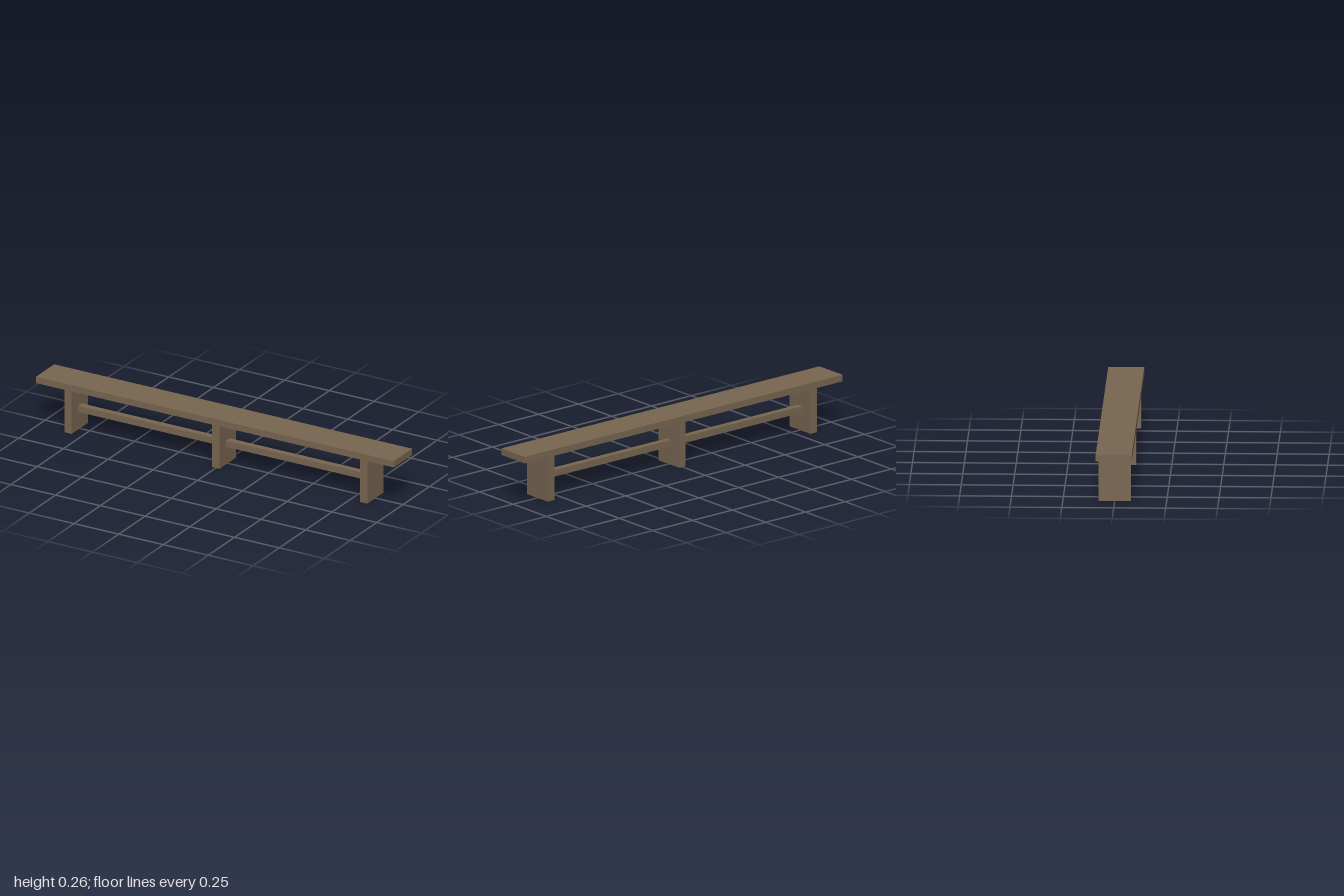
import * as THREE from 'three';

export function createModel() {
  const bench = new THREE.Group();
  bench.name = 'bench';
  const wood = new THREE.MeshStandardMaterial({ color: 0x786550 });
  wood.name = 'brown wood';

  // Adds a named wooden board, placed by its centre
  function board(name, width, height, depth, x, y) {
    const mesh = new THREE.Mesh(new THREE.BoxGeometry(width, height, depth), wood);
    mesh.name = name;
    mesh.position.set(x, y, 0);
    bench.add(mesh);
  }

  const seatHeight = 0.261, seatThickness = 0.033;
  const legHeight = seatHeight - seatThickness;
  const legSpacing = 0.826, legThickness = 0.041;

  // Long plank seat
  board('seat', 2, seatThickness, 0.174, 0, seatHeight - seatThickness / 2);

  // Three slab legs
  ['rightLeg', 'middleLeg', 'leftLeg'].forEach((name, i) =>
    board(name, legThickness, legHeight, 0.156, (i - 1) * legSpacing, legHeight / 2));

  // Stretcher bars between neighbouring legs
  for (const [name, side] of [['rightStretcher', -1], ['leftStretcher', 1]]) {
    board(name, legSpacing - legThickness, 0.033, 0.033, side * legSpacing / 2, 0.109);
  }

  return bench;
}
